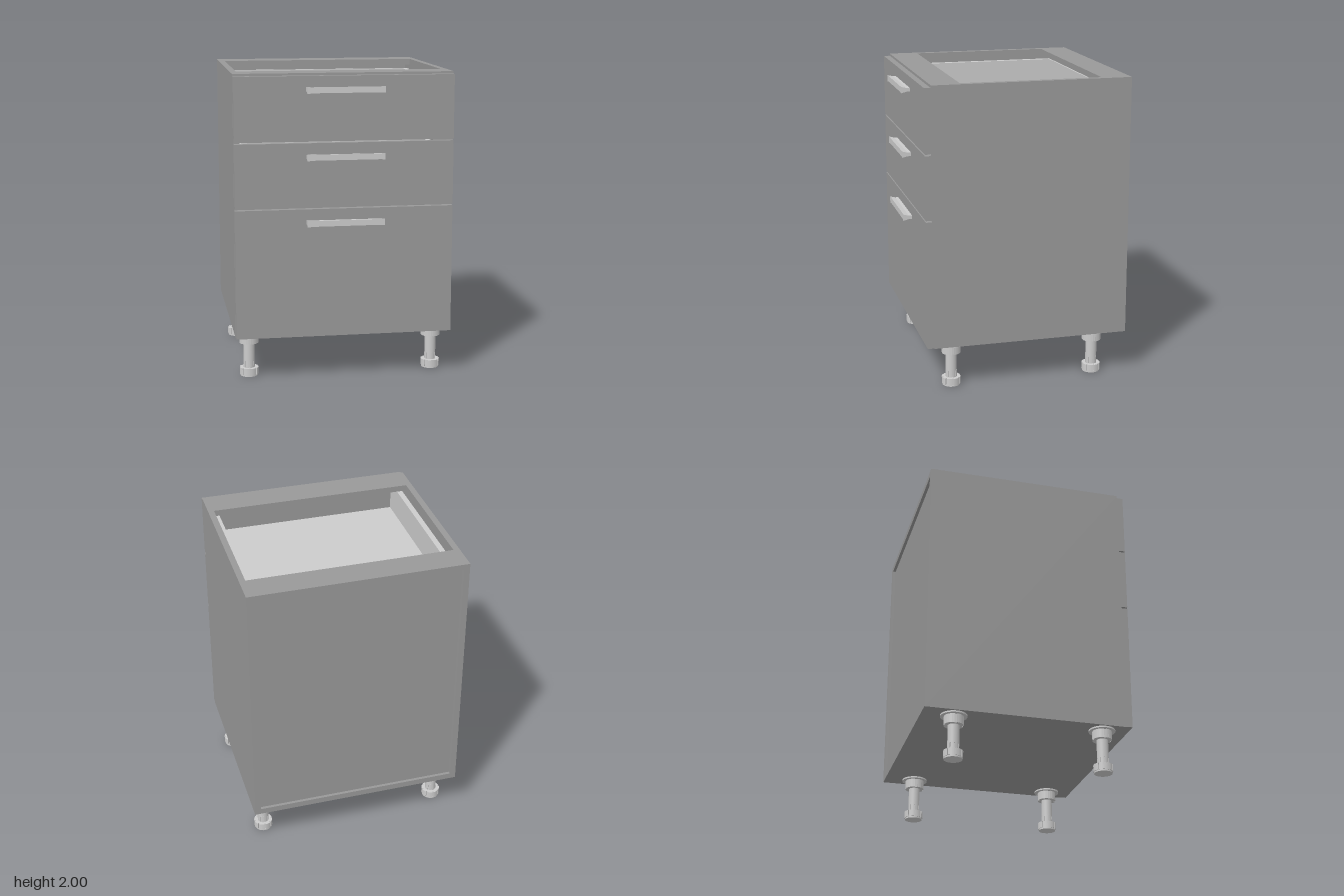
import * as THREE from 'three';

const board = new THREE.MeshStandardMaterial({ color: 0x999999 });
const metal = new THREE.MeshStandardMaterial({ color: 0xcccccc });

// Box given by its min and max on each axis
function box(parent, name, mat, [x0, x1], [y0, y1], [z0, z1]) {
  const mesh = new THREE.Mesh(new THREE.BoxGeometry(x1 - x0, y1 - y0, z1 - z0), mat);
  mesh.position.set((x0 + x1) / 2, (y0 + y1) / 2, (z0 + z1) / 2);
  mesh.name = name;
  parent.add(mesh);
  return mesh;
}

function part(name) {
  const g = new THREE.Group();
  g.name = name;
  return g;
}

// Open-topped and open-backed cabinet box
function makeCarcass() {
  const g = part('carcass');
  const inner = [-0.67, 0.67];
  box(g, 'rightSide', board, [-0.71, -0.67], [0.29, 2], [-0.7, 0.6]);
  box(g, 'leftSide', board, [0.67, 0.71], [0.29, 2], [-0.7, 0.6]);
  box(g, 'bottomPanel', board, inner, [0.29, 0.33], [-0.7, 0.6]);
  box(g, 'backRail', board, inner, [1.96, 2], [-0.7, -0.51]);
  box(g, 'frontRail', board, inner, [1.96, 2], [0.41, 0.6]);
  box(g, 'backPanel', board, inner, [0.33, 1.96], [-0.68, -0.67]);
  return g;
}

// Bar with a flared profile, extruded along x
function handleBar(length, grow) {
  const s = new THREE.Shape();
  s.moveTo(0, -0.012);
  s.lineTo(0.022, -0.012);
  s.lineTo(0.055 + grow, -0.019 - grow);
  s.lineTo(0.055 + grow, 0.019 + grow);
  s.lineTo(0.022, 0.012);
  s.lineTo(0, 0.012);
  const geo = new THREE.ExtrudeGeometry(s, { depth: length, bevelEnabled: false });
  geo.translate(0, 0, -length / 2);
  geo.rotateY(-Math.PI / 2);
  return geo;
}

function makeHandle() {
  const g = part('handle');
  const grip = new THREE.Mesh(handleBar(0.46, 0), metal);
  grip.name = 'grip';
  g.add(grip);
  for (const side of [-1, 1]) {
    const cap = new THREE.Mesh(handleBar(0.02, 0.002), metal);
    cap.position.x = side * 0.24;
    cap.name = 'endCap';
    g.add(cap);
  }
  return g;
}

// Front board, handle and tray behind it
function makeDrawer(y0, y1, floor, wallTop, handleY) {
  const g = part('drawer');
  box(g, 'drawerFront', board, [-0.708, 0.708], [y0, y1], [0.602, 0.643]);
  box(g, 'trayFloor', metal, [-0.625, 0.625], [floor - 0.03, floor], [-0.58, 0.602]);
  box(g, 'trayBack', metal, [-0.625, 0.625], [floor - 0.03, wallTop], [-0.58, -0.56]);
  box(g, 'trayRightWall', metal, [-0.662, -0.625], [floor - 0.03, wallTop], [-0.58, 0.602]);
  box(g, 'trayLeftWall', metal, [0.625, 0.662], [floor - 0.03, wallTop], [-0.58, 0.602]);
  const handle = makeHandle();
  handle.position.set(0, handleY, 0.643);
  g.add(handle);
  return g;
}

// Disc with evenly spaced notches round the rim, standing on y = 0
function notchedDisc(r, rIn, count, height) {
  const s = new THREE.Shape();
  const step = (Math.PI * 2) / count;
  for (let i = 0; i < count; i++) {
    for (let k = 0; k <= 5; k++) {
      const a = i * step + step * (0.08 + 0.84 * k / 5);
      const at = radius => [Math.cos(a) * radius, Math.sin(a) * radius];
      if (k === 0) i ? s.lineTo(...at(rIn)) : s.moveTo(...at(rIn));
      s.lineTo(...at(r));
      if (k === 5) s.lineTo(...at(rIn));
    }
  }
  const geo = new THREE.ExtrudeGeometry(s, { depth: height, bevelEnabled: false });
  geo.rotateX(-Math.PI / 2);
  return geo;
}

// Adjustable leg
function makeLeg() {
  const g = part('leg');
  const add = (name, geo, y) => {
    const mesh = new THREE.Mesh(geo, metal);
    mesh.position.y = y;
    mesh.name = name;
    g.add(mesh);
  };
  const cyl = (r, h) => new THREE.CylinderGeometry(r, r, h, 32);
  add('footPad', cyl(0.058, 0.01), 0.005);
  add('foot', notchedDisc(0.062, 0.053, 8, 0.045), 0.01);
  add('threadedStem', notchedDisc(0.037, 0.03, 8, 0.055), 0.05);
  add('shaft', cyl(0.037, 0.13), 0.165);
  add('collar', notchedDisc(0.063, 0.055, 4, 0.06), 0.222);
  add('flange', cyl(0.085, 0.01), 0.285);
  return g;
}

export function createModel() {
  const model = part('drawerCabinet');
  model.add(makeCarcass());

  // Two shallow drawers over a deep one
  model.add(makeDrawer(1.57, 1.985, 1.74, 1.93, 1.9));
  model.add(makeDrawer(1.145, 1.56, 1.315, 1.505, 1.475));
  model.add(makeDrawer(0.293, 1.135, 0.46, 0.9, 1.05));

  for (const x of [-0.613, 0.613]) {
    for (const z of [0.47, -0.495]) {
      const leg = makeLeg();
      leg.position.set(x, 0, z);
      model.add(leg);
    }
  }
  return model;
}
